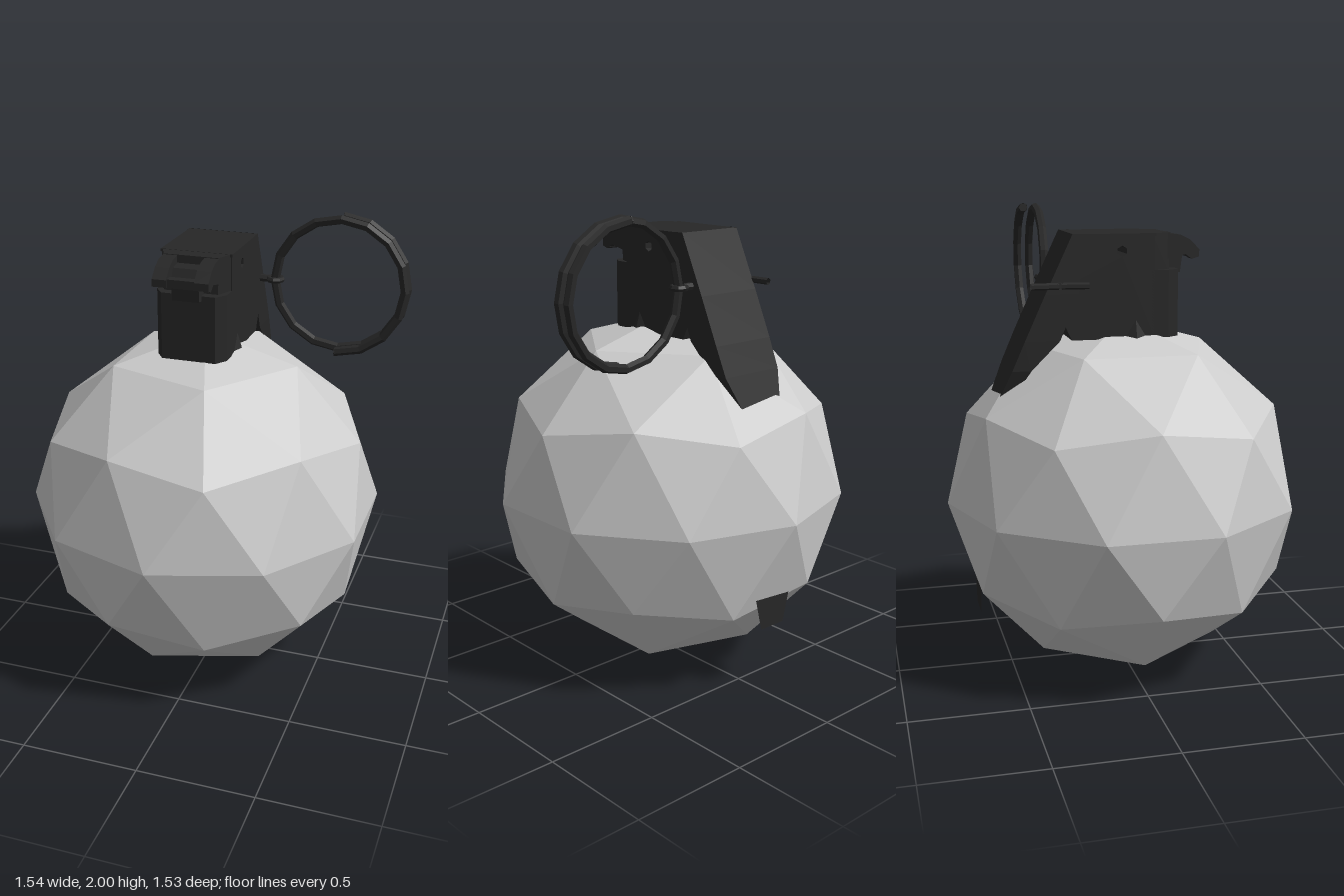
import * as THREE from 'three';

const CX = -0.045; // centre line of the fuze assembly

export function createModel() {
  const group = new THREE.Group();
  const shell = new THREE.MeshStandardMaterial({ color: 0xcccccc, flatShading: true });
  shell.name = 'pale grey';
  const metal = new THREE.MeshStandardMaterial({ color: 0x272727, flatShading: true, side: THREE.DoubleSide });
  metal.name = 'black metal';

  const add = (name, geometry, material = metal) => {
    const mesh = new THREE.Mesh(geometry, material);
    mesh.name = name;
    group.add(mesh);
    return mesh;
  };
  const toShape = (pts) => new THREE.Shape(pts.map(([a, b]) => new THREE.Vector2(a, b)));

  // Extrudes a [z, y] profile across x
  const sideExtrude = (shape, width, x = CX) =>
    new THREE.ExtrudeGeometry(shape, { depth: width, bevelEnabled: false })
      .rotateY(-Math.PI / 2).translate(x + width / 2, 0, 0);
  // Extrudes an [x, z] plan from y0 up to y1
  const planExtrude = (pts, y0, y1) =>
    new THREE.ExtrudeGeometry(toShape(pts), { depth: y1 - y0, bevelEnabled: false })
      .rotateX(Math.PI / 2).translate(CX, y1, 0);
  // Straight round bar between two points
  const bar = (a, b, r) => new THREE.TubeGeometry(
    new THREE.LineCurve3(new THREE.Vector3(...a), new THREE.Vector3(...b)), 1, r, 6);

  // Faceted sphere: icosahedron with poles on y, each edge split once
  const verts = [0, 1, 0];
  for (const [h, turn] of [[0.4472, 0], [-0.4472, Math.PI / 5]]) {
    for (let i = 0; i < 5; i++) {
      const a = turn + i * Math.PI * 0.4;
      verts.push(0.8944 * Math.cos(a), h, 0.8944 * Math.sin(a));
    }
  }
  verts.push(0, -1, 0);
  const faces = [];
  for (let i = 0; i < 5; i++) {
    const u = 1 + i, v = 1 + (i + 1) % 5, p = 6 + i, q = 6 + (i + 1) % 5;
    faces.push(0, v, u, u, v, p, v, q, p, p, q, 11);
  }
  const ball = new THREE.PolyhedronGeometry(verts, faces, 0.766, 1);
  ball.computeVertexNormals();
  add('body', ball, shell).position.set(-0.042, 0.768, 0);

  // Fuze housing with a cross hole
  const housing = toShape([[0.1, 1.47], [0.1, 1.9], [-0.24, 1.9], [-0.34, 1.66], [-0.25, 1.47]]);
  const hole = [];
  for (let i = 0; i < 6; i++) {
    const a = -i * Math.PI / 3 + Math.PI / 6;
    hole.push(new THREE.Vector2(-0.038 + 0.022 * Math.cos(a), 1.83 + 0.022 * Math.sin(a)));
  }
  housing.holes.push(new THREE.Path(hole));
  add('housing', sideExtrude(housing, 0.3));

  // Chamfered front of the housing
  add('housingFrontLower', planExtrude(
    [[-0.15, 0.09], [0.15, 0.09], [0.15, 0.16], [0.115, 0.21], [-0.115, 0.21], [-0.15, 0.16]], 1.47, 1.75));
  add('housingFrontUpper', planExtrude(
    [[-0.15, 0.09], [0.15, 0.09], [0.115, 0.17], [-0.115, 0.17]], 1.74, 1.9));

  // Hinge at the front: two ears, a cross bar and a tongue
  const ear = toShape([[0.15, 1.9], [0.22, 1.89], [0.26, 1.87], [0.3, 1.83],
    [0.3, 1.8], [0.27, 1.79], [0.24, 1.81], [0.15, 1.79]]);
  for (const s of [-1, 1]) add('hingeEar', sideExtrude(ear, 0.06, CX + s * 0.088));
  add('hingeBar', new THREE.BoxGeometry(0.235, 0.035, 0.04)).position.set(CX, 1.815, 0.275);
  add('hingeTongue', sideExtrude(toShape([[0.15, 1.87], [0.22, 1.86], [0.245, 1.81],
    [0.235, 1.73], [0.2, 1.73], [0.15, 1.8]]), 0.115));

  // Pointed feet on both sides of the housing base
  for (const s of [-1, 1]) {
    const x = CX + s * 0.14;
    const foot = new THREE.BufferGeometry();
    foot.setAttribute('position', new THREE.Float32BufferAttribute(
      [x, 1.58, 0.02, x, 1.45, 0.1, x, 1.45, -0.06, CX + s * 0.18, 1.45, 0.02], 3));
    foot.setIndex(s > 0 ? [0, 1, 3, 0, 3, 2, 1, 2, 3] : [0, 3, 1, 0, 2, 3, 1, 3, 2]);
    foot.computeVertexNormals();
    add('foot', foot);
  }

  // Safety lever: channel section [y, outer z, inner z, half width] lofted downward
  const stations = [
    [1.902, -0.245, -0.2, 0.153], [1.66, -0.36, -0.22, 0.153], [1.47, -0.447, -0.3, 0.153],
    [1.35, -0.5, -0.42, 0.15], [1.22, -0.557, -0.5, 0.108], [0.95, -0.645, -0.645, 0.105],
    [0.43, -0.645, -0.645, 0.1], [0.29, -0.645, -0.645, 0.065],
  ];
  const pos = [], idx = [];
  stations.forEach(([y, zo, zi, w], i) => {
    pos.push(CX - w, y, zi, CX - w, y, zo, CX + w, y, zo, CX + w, y, zi);
    if (i === 0) return;
    for (let k = 0; k < 3; k++) {
      const b = i * 4 + k, a = b - 4;
      idx.push(a, a + 1, b, a + 1, b + 1, b);
    }
  });
  const lever = new THREE.BufferGeometry();
  lever.setAttribute('position', new THREE.Float32BufferAttribute(pos, 3));
  lever.setIndex(idx);
  lever.computeVertexNormals();
  add('lever', lever);
  add('leverTop', new THREE.BoxGeometry(0.306, 0.012, 0.35)).position.set(CX, 1.895, -0.07);

  // Split pin with spread ends and an eye
  const py = 1.695, pz = -0.3;
  add('pin', bar([-0.215, py, pz], [0.15, py, pz], 0.016));
  for (const s of [-1, 1]) {
    add('pinEnd', bar([-0.205, py, pz + s * 0.005], [-0.212, py, pz + s * 0.12], 0.014));
  }
  add('pinEye', new THREE.TorusGeometry(0.029, 0.013, 6, 8).rotateX(Math.PI / 2)).position.set(0.175, py, pz);

  // Pull ring: one and a half turns of wire
  class Coil extends THREE.Curve {
    getPoint(t, target = new THREE.Vector3()) {
      const a = Math.PI / 2 - t * Math.PI * 3;
      return target.set(0.46 + 0.285 * Math.cos(a), py + 0.285 * Math.sin(a), -0.338 + 0.083 * t);
    }
  }
  add('pullRing', new THREE.TubeGeometry(new Coil(), 24, 0.02, 6));
  const coil = new Coil();
  for (const t of [0, 1]) { // closed wire ends
    add('ringEnd', new THREE.CylinderGeometry(0.02, 0.02, 0.004, 6).rotateZ(Math.PI / 2))
      .position.copy(coil.getPoint(t));
  }
  return group;
}
